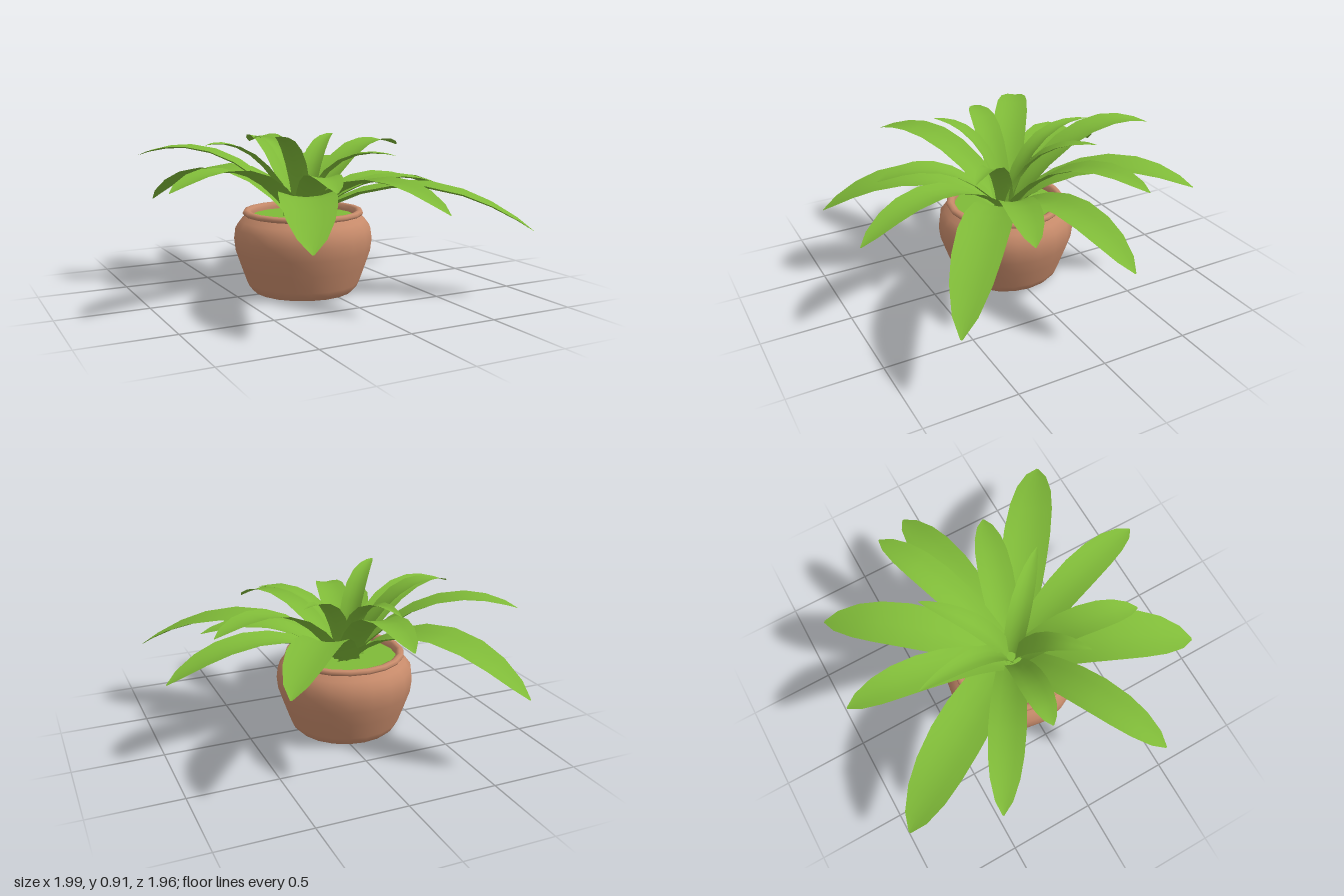
import * as THREE from 'three';

const terracotta = new THREE.MeshStandardMaterial({ color: 0xc68a6a, side: THREE.DoubleSide });
terracotta.name = 'terracotta';
const leafGreen = new THREE.MeshStandardMaterial({ color: 0x7fba38, side: THREE.DoubleSide });
leafGreen.name = 'leaf green';

const CX = -0.085, CZ = -0.01; // pot axis

// [tip x, tip y, tip z, highest point, width, inner leaf?]
const LEAVES = [
  [-0.69, 0.44, -0.98, 0.66, 0.29],
  [-0.02, 0.79, -0.96, 0.84, 0.2],
  [0.56, 0.61, -0.86, 0.71, 0.26],
  [0.78, 0.78, -0.38, 0.825, 0.19],
  [0.99, 0.48, -0.16, 0.62, 0.24],
  [0.70, 0.59, 0.24, 0.64, 0.2],
  [0.95, 0.38, 0.77, 0.61, 0.27],
  [0.23, 0.555, 0.98, 0.68, 0.21],
  [-0.25, 0.66, 0.71, 0.71, 0.18],
  [-0.51, 0.43, 0.96, 0.61, 0.3],
  [-1.0, 0.67, 0.41, 0.74, 0.21],
  [-0.64, 0.85, -0.08, 0.855, 0.16],
  [-0.90, 0.77, -0.52, 0.815, 0.2],
  [-0.14, 0.84, -0.60, 0.85, 0.13, true],
  [0.30, 0.87, -0.37, 0.87, 0.14, true],
  [0.30, 0.79, 0.37, 0.80, 0.14, true],
  [-0.40, 0.91, 0.29, 0.91, 0.14, true],
];

// Leaf outline: position along the leaf, fraction of full width
const OUTLINE = [[0, 0.75], [0.12, 0.82], [0.25, 0.9], [0.4, 0.98], [0.55, 1],
  [0.7, 0.93], [0.82, 0.77], [0.93, 0.46], [1, 0.04]];
const ACROSS = [-1, -0.5, 0, 0.5, 1];

// Arching, cupped blade; the inner ones are steeper and more pointed
function leafGeometry([tx, ty, tz, top, width, inner]) {
  const dir = new THREE.Vector3(tx - CX, 0, tz - CZ);
  const reach = dir.length();
  dir.normalize();
  const side = new THREE.Vector3(dir.z, 0, -dir.x);
  const at = (r, y) => new THREE.Vector3(CX, y, CZ).addScaledVector(dir, r);
  const y0 = 0.41;
  const controlY = top + Math.sqrt((top - y0) * (top - ty));
  const spine = new THREE.QuadraticBezierCurve3(
    at(inner ? 0.02 : 0.04, y0),
    at(reach * (inner ? 0.25 : 0.48), controlY),
    at(reach, ty));
  const cup = inner ? 0.2 : 0.13;
  const taper = inner ? 0.45 : 0;

  const positions = [], index = [], n = ACROSS.length;
  OUTLINE.forEach(([t, fraction], i) => {
    const p = spine.getPoint(t);
    const up = new THREE.Vector3().crossVectors(spine.getTangent(t), side);
    const w = width * fraction * (1 - taper * t * t);
    for (const s of ACROSS) {
      const v = p.clone()
        .addScaledVector(side, s * w / 2)
        .addScaledVector(up, s * s * w * cup * (1 - 0.5 * t));
      positions.push(v.x, v.y, v.z);
    }
    if (i === 0) return;
    for (let j = 0; j < n - 1; j++) {
      const a = (i - 1) * n + j, b = a + 1, c = a + n, d = c + 1;
      index.push(a, b, c, b, d, c);
    }
  });
  const g = new THREE.BufferGeometry();
  g.setAttribute('position', new THREE.Float32BufferAttribute(positions, 3));
  g.setIndex(index);
  g.computeVertexNormals();
  return g;
}

export function createModel() {
  const model = new THREE.Group();
  model.name = 'pottedPlant';

  const pot = new THREE.Group();
  pot.name = 'pot';
  pot.position.set(CX, 0, CZ);
  model.add(pot);
  const addPot = (name, geometry, material) => {
    const mesh = new THREE.Mesh(geometry, material);
    mesh.name = name;
    pot.add(mesh);
    return mesh;
  };
  const lathe = (points) =>
    new THREE.LatheGeometry(points.map(([r, y]) => new THREE.Vector2(r, y)), 20);

  // Rounded body
  addPot('potBody', lathe([[0.29, 0], [0.31, 0.02], [0.325, 0.05], [0.36, 0.15], [0.39, 0.24],
    [0.398, 0.31], [0.39, 0.37], [0.36, 0.41], [0.325, 0.44]]), terracotta);
  // Rolled rim and inner wall
  addPot('potRim', lathe([[0.32, 0.438], [0.34, 0.44], [0.348, 0.453], [0.34, 0.467],
    [0.322, 0.47], [0.305, 0.463], [0.3, 0.44], [0.3, 0.41]]), terracotta);
  // Underside
  addPot('potBase', new THREE.CircleGeometry(0.29, 20), terracotta).rotation.x = Math.PI / 2;
  // Green ground cover inside the rim
  const cover = addPot('groundCover', new THREE.CircleGeometry(0.3, 20), leafGreen);
  cover.rotation.x = -Math.PI / 2;
  cover.position.y = 0.43;

  // Rosette of leaves
  const leaves = new THREE.Group();
  leaves.name = 'leaves';
  LEAVES.forEach((spec) => {
    const leaf = new THREE.Mesh(leafGeometry(spec), leafGreen);
    leaf.name = spec[5] ? 'innerLeaf' : 'outerLeaf';
    leaves.add(leaf);
  });
  model.add(leaves);
  return model;
}
